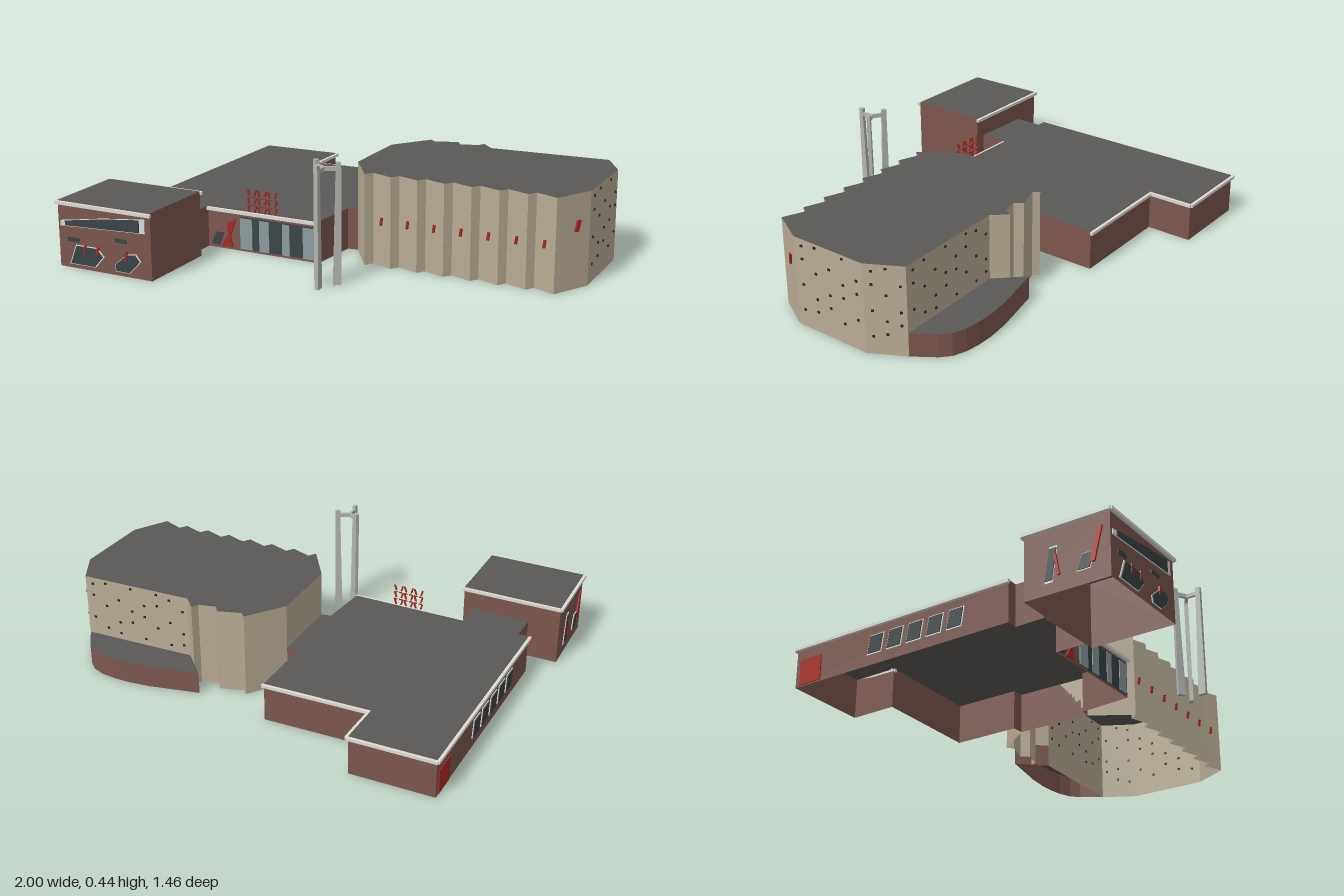
import * as THREE from 'three';

const mat = (name, color) => new THREE.MeshStandardMaterial({ name, color, side: THREE.DoubleSide });
const M = {
  tan: mat('tan concrete', 0xb8ac95),
  brick: mat('brown brick', 0x7b564e),
  roof: mat('grey roofing', 0x5a5856),
  white: mat('white trim', 0xdcdcd6),
  dark: mat('dark glass', 0x3a4446),
  pale: mat('pale glass', 0x8b9c9e),
  red: mat('red accent', 0xa82a22),
  steel: mat('pale grey steel', 0xb2b4b0),
  black: mat('dark vent', 0x2b2522),
};

function add(parent, name, geometry, material) {
  const mesh = new THREE.Mesh(geometry, material);
  mesh.name = name;
  parent.add(mesh);
  return mesh;
}

// Upright walls along a closed plan outline of [x, z] points
function walls(parent, name, plan, h, material) {
  const pos = [];
  plan.forEach(([x, z], i) => {
    const [u, w] = plan[(i + 1) % plan.length];
    pos.push(x, 0, z, u, 0, w, u, h, w, x, 0, z, u, h, w, x, h, z);
  });
  const g = new THREE.BufferGeometry();
  g.setAttribute('position', new THREE.Float32BufferAttribute(pos, 3));
  g.computeVertexNormals();
  add(parent, name, g, material);
}

// Flat roof over a plan outline
function roof(parent, name, plan, h) {
  const shape = new THREE.Shape(plan.map(([x, z]) => new THREE.Vector2(x, -z)));
  const g = new THREE.ShapeGeometry(shape).rotateX(-Math.PI / 2).translate(0, h, 0);
  add(parent, name, g, M.roof);
}

// Group on a wall: x runs from a to b, z points outward
function facade(parent, name, a, b) {
  const g = new THREE.Group();
  g.name = name;
  g.position.set(a[0], 0, a[1]);
  g.rotation.y = Math.atan2(a[1] - b[1], b[0] - a[0]);
  g.userData.length = Math.hypot(b[0] - a[0], b[1] - a[1]);
  parent.add(g);
  return g;
}

// Thin polygon plate on a facade, from z0 to z1
function plate(parent, name, pts, material, z0 = -0.002, z1 = 0.004) {
  const s = new THREE.Shape(pts.map(p => new THREE.Vector2(...p)));
  const g = new THREE.ExtrudeGeometry(s, { depth: z1 - z0, bevelEnabled: false }).translate(0, 0, z0);
  return add(parent, name, g, material);
}
const rect = (u, y, w, h, lean = 0) => [[u, y], [u + w, y], [u + w + lean, y + h], [u + lean, y + h]];

// White-framed window with glass in front
function framedWindow(parent, pts, inset = 0.88) {
  const cx = pts.reduce((s, p) => s + p[0], 0) / pts.length;
  const cy = pts.reduce((s, p) => s + p[1], 0) / pts.length;
  plate(parent, 'windowFrame', pts, M.white, -0.003, 0.003);
  plate(parent, 'windowGlass', pts.map(([x, y]) => [cx + (x - cx) * inset, cy + (y - cy) * inset]), M.dark, 0.003, 0.006);
}

// Eaves strip along one wall
function trim(parent, a, b, top) {
  const f = facade(parent, 'eaves', a, b), L = f.userData.length;
  add(f, 'eavesTrim', new THREE.BoxGeometry(L + 0.012, 0.012, 0.012).translate(L / 2, top - 0.008, 0.006), M.white);
}

function mainBlock(model) {
  const g = new THREE.Group();
  g.name = 'mainBlock';
  const H = 0.16;
  const plan = [[-0.8, 0.2], [-0.76, 0.21], [-0.79, 0.32], [-0.56, 0.39], [-0.53, 0.275], [-0.07, 0.4],
    [0, 0.205], [0.04, 0.21], [0.115, -0.085], [0.07, -0.1], [0.14, -0.36], [-0.285, -0.46],
    [-0.235, -0.64], [-0.56, -0.72]];
  walls(g, 'mainWalls', plan, H, M.brick);
  roof(g, 'mainRoof', plan, H);
  [[4, 5], [10, 11], [11, 12], [12, 13], [13, 0]].forEach(([i, j]) => trim(g, plan[i], plan[j], H));

  // Glazed entrance with alternating panels
  const front = facade(g, 'entranceFront', plan[4], plan[5]);
  plate(front, 'entranceGlass', rect(0.145, 0.01, 0.325, 0.125), M.dark);
  [[0.145, 0.052], [0.228, 0.042], [0.327, 0.031], [0.415, 0.047]].forEach(([u, w]) =>
    plate(front, 'paleGlassPanel', rect(u, 0.01, w, 0.12), M.pale, 0.004, 0.007));
  plate(front, 'redRibbon', [[0.06, 0.01], [0.11, 0.01], [0.1, 0.05], [0.125, 0.125], [0.085, 0.1], [0.09, 0.06]], M.red, 0, 0.006);
  plate(front, 'sideGlass', rect(0.015, 0.012, 0.035, 0.05, 0.02), M.dark);

  // Red rooftop ornament of small slanted bars
  for (let r = 0; r < 3; r++) for (let c = 0; c < 6; c++) {
    plate(front, 'ornamentBar', rect(0.185 + c * 0.022, 0.162 + r * 0.032, 0.006, 0.022, c % 2 ? 0.008 : -0.006), M.red, 0.004, 0.01);
    if (r < 2) plate(front, 'ornamentLink', rect(0.183 + c * 0.022, 0.184 + r * 0.032, 0.014, 0.004), M.red, 0.004, 0.008);
  }

  // Long side: red door and slanted windows
  const side = facade(g, 'longSide', plan[13], plan[0]);
  plate(side, 'redDoor', rect(0.02, 0.005, 0.1, 0.1), M.red, -0.003, 0.004);
  for (let i = 0; i < 5; i++) framedWindow(side, rect(0.34 + i * 0.088, 0.04, 0.065, 0.075, 0.012));
  model.add(g);
}

function cornerBlock(model) {
  const g = new THREE.Group();
  g.name = 'cornerBlock';
  const H = 0.25;
  const plan = [[-0.99, 0.61], [-0.6, 0.715], [-0.52, 0.4], [-0.915, 0.295]];
  walls(g, 'cornerWalls', plan, H, M.brick);
  roof(g, 'cornerRoof', plan, H);
  trim(g, plan[0], plan[1], H);
  trim(g, plan[3], plan[0], H);
  trim(g, plan[2], plan[3], H);

  const front = facade(g, 'cornerFront', plan[0], plan[1]);
  framedWindow(front, [[0.01, 0.155], [0.38, 0.172], [0.38, 0.225], [0.2, 0.205], [0.01, 0.175]]);
  framedWindow(front, [[0.045, 0.015], [0.16, 0.015], [0.2, 0.06], [0.17, 0.09], [0.075, 0.09]], 0.92);
  framedWindow(front, [[0.25, 0.015], [0.31, 0.015], [0.36, 0.065], [0.34, 0.09], [0.3, 0.085], [0.245, 0.04]], 0.92);
  plate(front, 'smallVent', rect(0.04, 0.1, 0.05, 0.016), M.dark);
  plate(front, 'smallVent', rect(0.25, 0.125, 0.05, 0.014), M.dark);
  [0.11, 0.165, 0.29].forEach(u => plate(front, 'redMark', rect(u, 0.06, 0.008, 0.035, 0.006), M.red, 0, 0.008));

  const side = facade(g, 'cornerSide', plan[3], plan[0]);
  framedWindow(side, rect(0.08, 0.04, 0.03, 0.13, 0.02));
  framedWindow(side, rect(0.2, 0.05, 0.05, 0.06, 0.02));
  plate(side, 'redSlash', rect(0.25, 0.07, 0.018, 0.12, 0.03), M.red, 0, 0.007);
  plate(side, 'redSlash', rect(0.13, 0.06, 0.01, 0.08, -0.015), M.red, 0, 0.007);
  model.add(g);
}

function hall(model) {
  const g = new THREE.Group();
  g.name = 'hall';
  const H = 0.345;
  // Pleated front wall
  const teeth = [];
  for (let i = 0; i < 7; i++) {
    const x = 0.1 + i * 0.1, z = 0.385 + i * 0.025;
    teeth.push([x, z], [x + 0.028, z - 0.024]);
  }
  const end = [[0.8, 0.565], [0.91, 0.45], [0.995, 0.14], [0.96, -0.005], [0.505, -0.105]];
  const back = [[0.47, -0.17], [0.45, -0.145], [0.38, -0.145], [0.365, -0.18], [0.27, -0.175], [0.255, -0.2], [0.115, -0.085]];
  const plan = [[0.04, 0.21], ...teeth, ...end, ...back];
  walls(g, 'hallWalls', plan, H, M.tan);
  roof(g, 'hallRoof', plan, H);

  // Red marks on the pleats and end wall
  for (let i = 0; i < 7; i++) {
    const f = facade(g, 'pleat', teeth[2 * i + 1], teeth[2 * i + 2] || end[0]);
    plate(f, 'redMark', rect(0.035, 0.155, 0.01, 0.03, 0.005), M.red, 0, 0.005);
  }
  const corner = facade(g, 'cornerWall', end[0], end[1]);
  plate(corner, 'redMark', rect(0.085, 0.21, 0.018, 0.04, 0.01), M.red, 0, 0.006);

  // Scattered vents on the far end walls
  const vents = (a, b, cols, y0) => {
    const f = facade(g, 'ventedWall', a, b), L = f.userData.length;
    for (let c = 0; c < cols; c++) for (let r = 0; r < 6; r++) {
      if ((c * 2 + r * 3) % 5 > 2) continue;
      const y = 0.065 + r * 0.05 + (c % 2) * 0.012;
      if (y > y0) plate(f, 'vent', rect((c + 0.5) * L / cols, y, 0.009, 0.008), M.black, -0.004, 0.004);
    }
  };
  vents(end[1], end[2], 5, 0);
  vents(end[2], end[3], 3, 0);
  vents(end[3], end[4], 8, 0.1);
  model.add(g);

  // Low curved annex behind the hall
  const annex = new THREE.Group();
  annex.name = 'annex';
  const curve = new THREE.CatmullRomCurve3([[0.96, -0.005], [0.9, -0.14], [0.735, -0.21], [0.435, -0.23]]
    .map(([x, z]) => new THREE.Vector3(x, 0, z)));
  const low = [...curve.getPoints(9).map(p => [p.x, p.z]), [0.505, -0.105]];
  walls(annex, 'annexWalls', low, 0.09, M.brick);
  roof(annex, 'annexRoof', low, 0.09);
  model.add(annex);
}

// Three-legged steel mast joined near its top
function mast(model) {
  const g = new THREE.Group();
  g.name = 'mast';
  g.position.set(0.005, 0, 0.628);
  [[-0.035, -0.037], [0.052, -0.015], [-0.014, 0.053]].forEach(([x, z]) => {
    const leg = new THREE.Group();
    leg.name = 'mastLeg';
    leg.rotation.y = Math.atan2(-z, x);
    const s = new THREE.Shape([[0.03, 0], [0.06, 0], [0.06, 0.445], [0.042, 0.445]].map(p => new THREE.Vector2(...p)));
    add(leg, 'legBlade', new THREE.ExtrudeGeometry(s, { depth: 0.014, bevelEnabled: false }).translate(0, 0, -0.007), M.steel);
    add(leg, 'legBrace', new THREE.BoxGeometry(0.05, 0.016, 0.01).translate(0.022, 0.422, 0), M.steel);
    g.add(leg);
  });
  model.add(g);
}

export function createModel() {
  const model = new THREE.Group();
  model.name = 'civicCentre';
  mainBlock(model);
  cornerBlock(model);
  hall(model);
  mast(model);
  return model;
}
